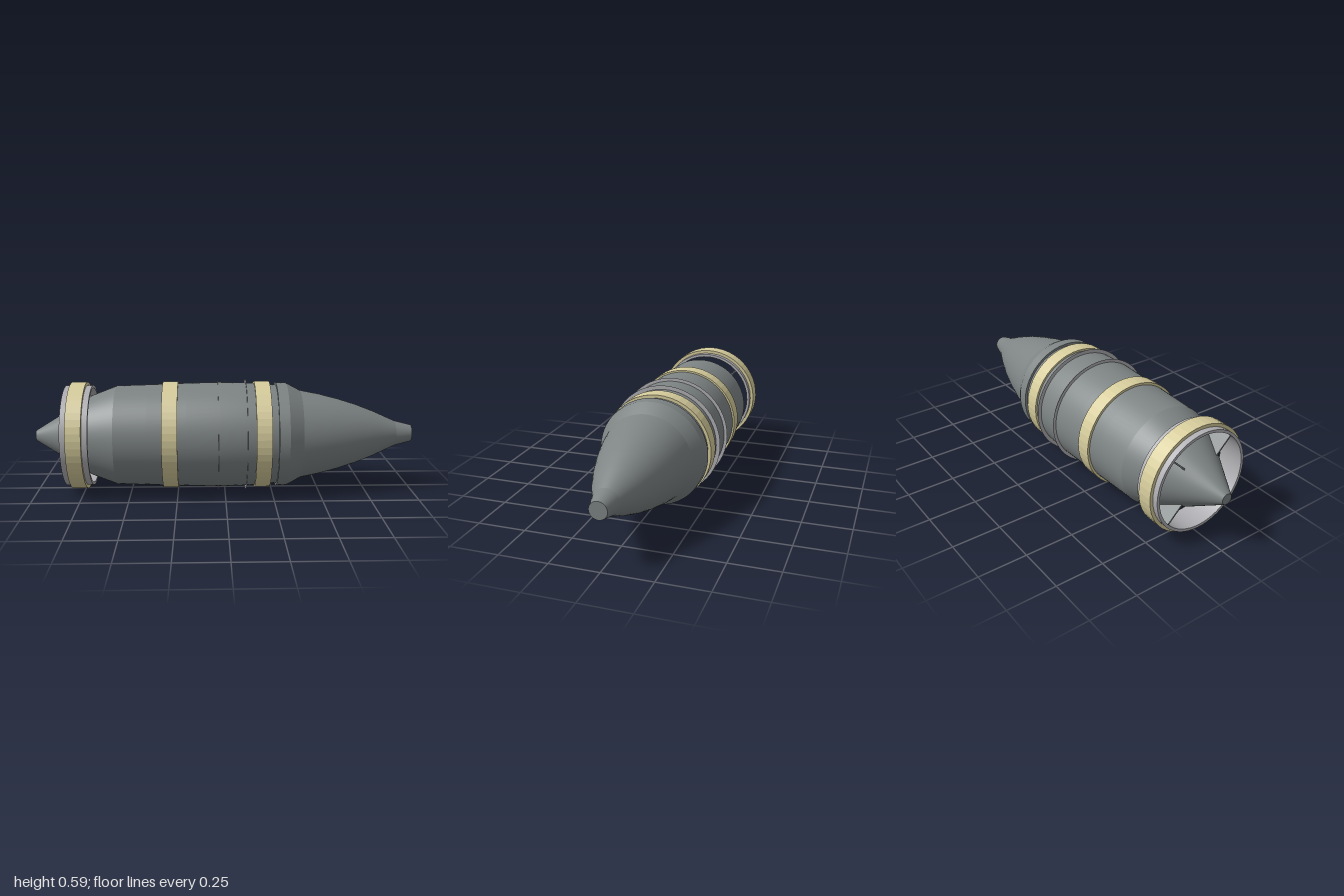
import * as THREE from 'three';

const AXIS_Y = 0.295;
const SEG = 64;

export function createModel() {
  const bodyGrey = new THREE.MeshStandardMaterial({ color: 0x7e8484 });
  bodyGrey.name = 'body grey';
  const bandCream = new THREE.MeshStandardMaterial({ color: 0xd6cc9c, flatShading: true });
  bandCream.name = 'band cream';
  const lightGrey = new THREE.MeshStandardMaterial({ color: 0xb0b0b4, side: THREE.DoubleSide });
  lightGrey.name = 'light grey';

  const model = new THREE.Group();
  model.name = 'shell';

  // Turns [x, radius] pairs around the long axis; each profile is smooth within itself
  function turned(name, profiles, material, segments = SEG) {
    const part = new THREE.Group();
    part.name = name;
    for (const profile of profiles) {
      const points = profile.map(([x, r]) => new THREE.Vector2(r, x));
      const geometry = new THREE.LatheGeometry(points, segments);
      geometry.rotateZ(-Math.PI / 2);
      const mesh = new THREE.Mesh(geometry, material);
      mesh.name = name;
      part.add(mesh);
    }
    part.position.y = AXIS_Y;
    model.add(part);
  }

  // A hollow hoop with square edges
  function hoop(name, x0, x1, inner, outer, material, segments) {
    turned(name, [
      [[x0, inner], [x0, outer]],
      [[x0, outer], [x1, outer]],
      [[x1, outer], [x1, inner]],
      [[x1, inner], [x0, inner]],
    ], material, segments);
  }

  // Tail cone, shoulder and barrel
  turned('tailCone', [
    [[-1, 0], [-1, 0.028]],
    [[-1, 0.028], [-0.7, 0.212]],
    [[-0.7, 0.212], [-0.57, 0.262]],
  ], bodyGrey);
  turned('barrel', [
    [[-0.57, 0.262], [-0.4, 0.267], [-0.2, 0.274], [-0.03, 0.278],
      [0.1, 0.275], [0.2, 0.269], [0.27, 0.263]],
  ], bodyGrey);

  // Nose with raised collar, curved taper and blunt fuze
  turned('nose', [
    [[0.27, 0.255], [0.27, 0.276]],
    [[0.27, 0.276], [0.325, 0.274]],
    [[0.325, 0.274], [0.36, 0.256], [0.4, 0.234]],
    [[0.4, 0.234], [0.5, 0.214], [0.6, 0.188], [0.7, 0.156], [0.8, 0.117], [0.91, 0.067]],
    [[0.91, 0.067], [1, 0.044]],
    [[1, 0.044], [1, 0]],
  ], bodyGrey);

  // Cream bands
  for (const x of [-0.765, -0.285, 0.195]) {
    hoop('band', x - 0.04, x + 0.04, 0.262, 0.282, bandCream, 48);
  }

  // Tail hoop
  hoop('tailHoop', -0.835, -0.695, 0.25, 0.265, lightGrey, SEG);

  // Thin flat rings around the barrel
  for (const x of [-0.037, 0.11]) {
    turned('flatRing', [[[x, 0.27], [x, 0.295]]], lightGrey);
  }

  // Thin struts holding the tail hoop
  const strut = new THREE.Shape([
    new THREE.Vector2(-0.82, 0.13), new THREE.Vector2(-0.71, 0.2),
    new THREE.Vector2(-0.71, 0.255), new THREE.Vector2(-0.82, 0.255),
  ]);
  const strutGeometry = new THREE.ExtrudeGeometry(strut, { depth: 0.008, bevelEnabled: false });
  strutGeometry.translate(0, 0, -0.004);
  for (let i = 0; i < 4; i++) {
    const mesh = new THREE.Mesh(strutGeometry, bodyGrey);
    mesh.name = 'tailStrut';
    mesh.position.y = AXIS_Y;
    mesh.rotation.x = Math.PI / 4 + i * Math.PI / 2;
    model.add(mesh);
  }

  return model;
}
